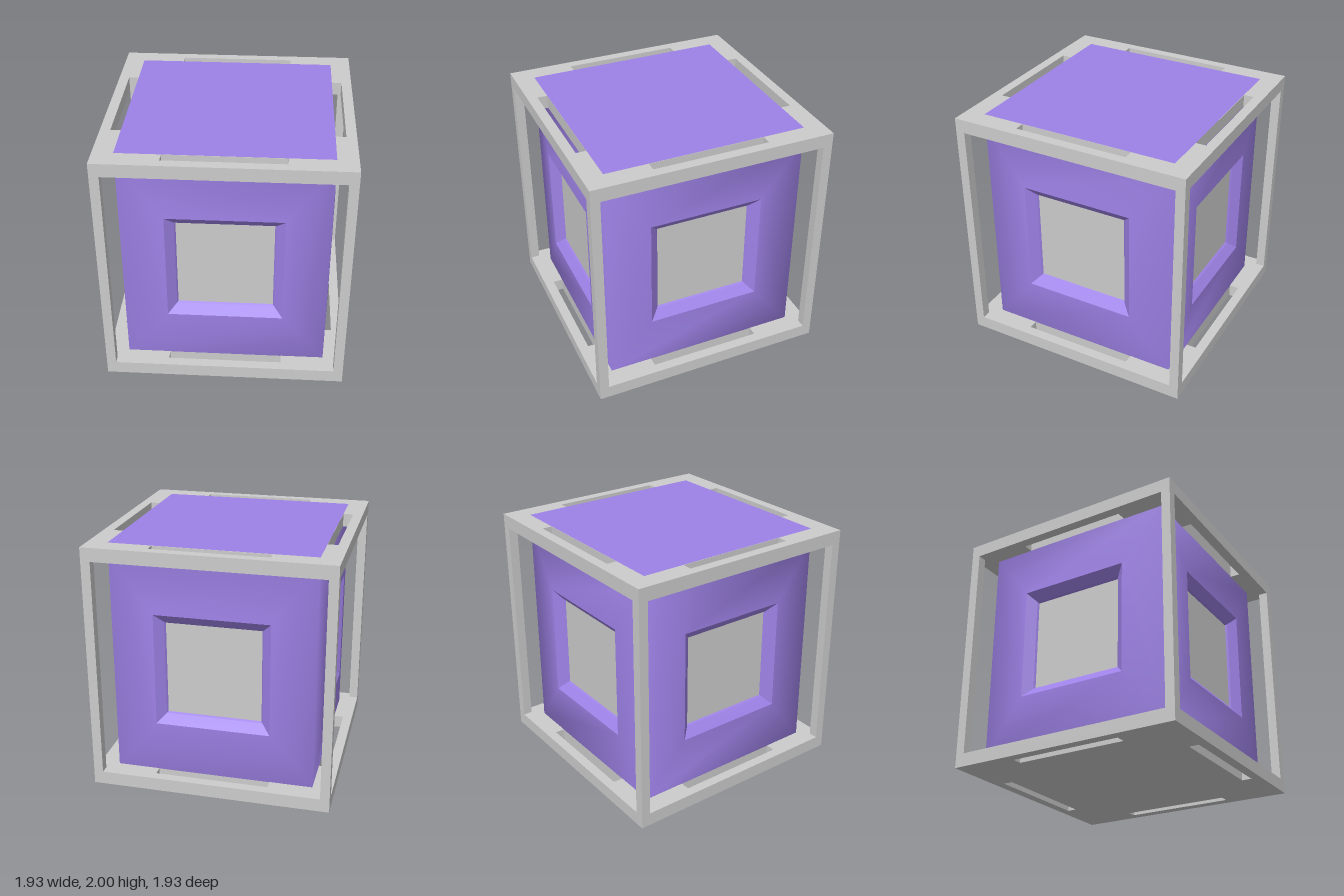
import * as THREE from 'three';
import { mergeGeometries, mergeVertices } from 'three/addons/utils/BufferGeometryUtils.js';

const OUT = 0.965;   // half width of the frame
const BODY = 0.805;  // half width of the body at its corners
const PLATE = 0.108; // thickness of the top and bottom plates
const POST = 0.075;

// Skin between concentric rectangles [halfWidth, halfHeight, z], ordered from outside in
function rectLoft(rings) {
  const pos = [], idx = [];
  for (const [w, h, z] of rings) pos.push(-w, -h, z, w, -h, z, w, h, z, -w, h, z);
  for (let r = 0; r < rings.length - 1; r++) {
    for (let i = 0; i < 4; i++) {
      const a = r * 4 + i, b = r * 4 + (i + 1) % 4;
      idx.push(a, b, b + 4, a, b + 4, a + 4);
    }
  }
  const g = new THREE.BufferGeometry();
  g.setAttribute('position', new THREE.Float32BufferAttribute(pos, 3));
  g.setIndex(idx);
  return g;
}

const rectPath = (path, x0, y0, x1, y1) =>
  path.moveTo(x0, y0).lineTo(x1, y0).lineTo(x1, y1).lineTo(x0, y1).closePath();

// Square plate with a slot along each side, lying flat
function plateGeometry(thickness) {
  const shape = new THREE.Shape();
  rectPath(shape, -OUT, -OUT, OUT, OUT);
  const s = 0.46, a = BODY, b = 0.885;
  for (const [x0, y0, x1, y1] of [[-s, a, s, b], [-s, -b, s, -a], [a, -s, b, s], [-b, -s, -a, s]]) {
    const hole = new THREE.Path();
    rectPath(hole, x0, y0, x1, y1);
    shape.holes.push(hole);
  }
  return new THREE.ExtrudeGeometry(shape, { depth: thickness, bevelEnabled: false }).rotateX(-Math.PI / 2);
}

export function createModel() {
  const model = new THREE.Group();
  model.name = 'framedCube';
  const grey = new THREE.MeshStandardMaterial({ color: 0xcccccc });
  const purple = new THREE.MeshStandardMaterial({ color: 0x9e82e7 });

  const add = (name, geometry, material, parent = model) => {
    const mesh = new THREE.Mesh(geometry, material);
    mesh.name = name;
    parent.add(mesh);
    return mesh;
  };

  // Frame: two slotted plates joined by corner posts
  const frame = new THREE.Group();
  frame.name = 'frame';
  model.add(frame);
  add('bottomPlate', plateGeometry(PLATE), grey, frame);
  add('topPlate', plateGeometry(PLATE), grey, frame).position.y = 2 - PLATE;
  const postGeometry = new THREE.BoxGeometry(POST, 2 - 2 * PLATE, POST);
  for (const x of [-1, 1]) {
    for (const z of [-1, 1]) {
      add('cornerPost', postGeometry, grey, frame)
        .position.set(x * (OUT - POST / 2), 1, z * (OUT - POST / 2));
    }
  }

  // Body: four swollen sides, smoothly shaded around the corners
  const sides = [0, 1, 2, 3].map(k =>
    rectLoft([[BODY, 0.894, BODY], [0.46, 0.463, 0.835]]).rotateY(k * Math.PI / 2));
  const shell = mergeVertices(mergeGeometries(sides));
  shell.computeVertexNormals();
  add('bodyShell', shell, purple).position.y = 1;

  // Window on each side: sloping surround, narrow rim and flat panel
  const surround = rectLoft([
    [0.46, 0.463, 0.835], [0.39, 0.39, 0.775], [0.38, 0.38, 0.76],
  ]).toNonIndexed();
  surround.computeVertexNormals();
  const panel = new THREE.PlaneGeometry(0.76, 0.76);
  for (let k = 0; k < 4; k++) {
    const side = new THREE.Group();
    side.name = 'window';
    side.position.y = 1;
    side.rotation.y = k * Math.PI / 2;
    model.add(side);
    add('windowSurround', surround, purple, side);
    add('windowPanel', panel, grey, side).position.z = 0.76;
  }

  // Coloured sheet on the top plate
  const lid = new THREE.PlaneGeometry(2 * BODY, 2 * BODY).rotateX(-Math.PI / 2);
  add('topSheet', lid, purple).position.y = 2.002;

  return model;
}
